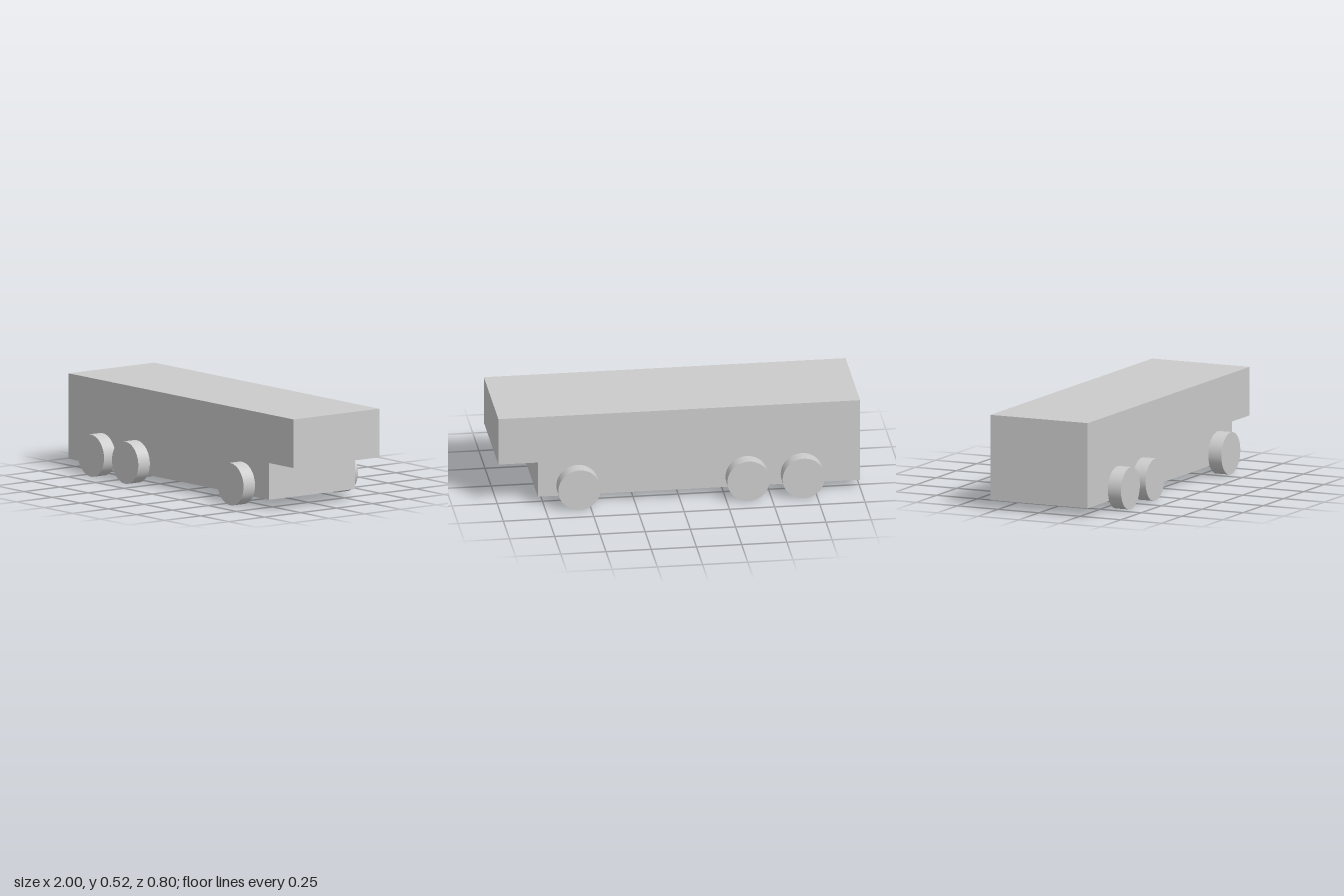
import * as THREE from 'three';

export function createModel() {
  const model = new THREE.Group();
  const material = new THREE.MeshStandardMaterial({ color: 0xcccccc });

  const add = (name, geometry, x, y, z) => {
    const mesh = new THREE.Mesh(geometry, material);
    mesh.name = name;
    mesh.position.set(x, y, z);
    model.add(mesh);
  };

  // Box body: long upper half over a shorter lower half
  const addBox = (name, x0, x1, y0, y1) =>
    add(name, new THREE.BoxGeometry(x1 - x0, y1 - y0, 0.596), (x0 + x1) / 2, (y0 + y1) / 2, 0);
  addBox('upperBody', -1, 1, 0.252, 0.522);
  addBox('lowerBody', -1, 0.782, 0.048, 0.252);

  // Cylinders lying along z
  const wheelRadius = 0.117;
  const wheel = new THREE.CylinderGeometry(wheelRadius, wheelRadius, 0.08, 64).rotateX(Math.PI / 2);
  const axle = new THREE.CylinderGeometry(0.016, 0.016, 0.64, 32).rotateX(Math.PI / 2);

  // Two close axles at one end, a single one at the other
  for (const [place, x] of [['rear', -0.675], ['middle', -0.37], ['front', 0.565]]) {
    add(`${place}Axle`, axle, x, wheelRadius, 0);
    add(`${place}WheelNear`, wheel, x, wheelRadius, 0.358);
    add(`${place}WheelFar`, wheel, x, wheelRadius, -0.358);
  }

  return model;
}
